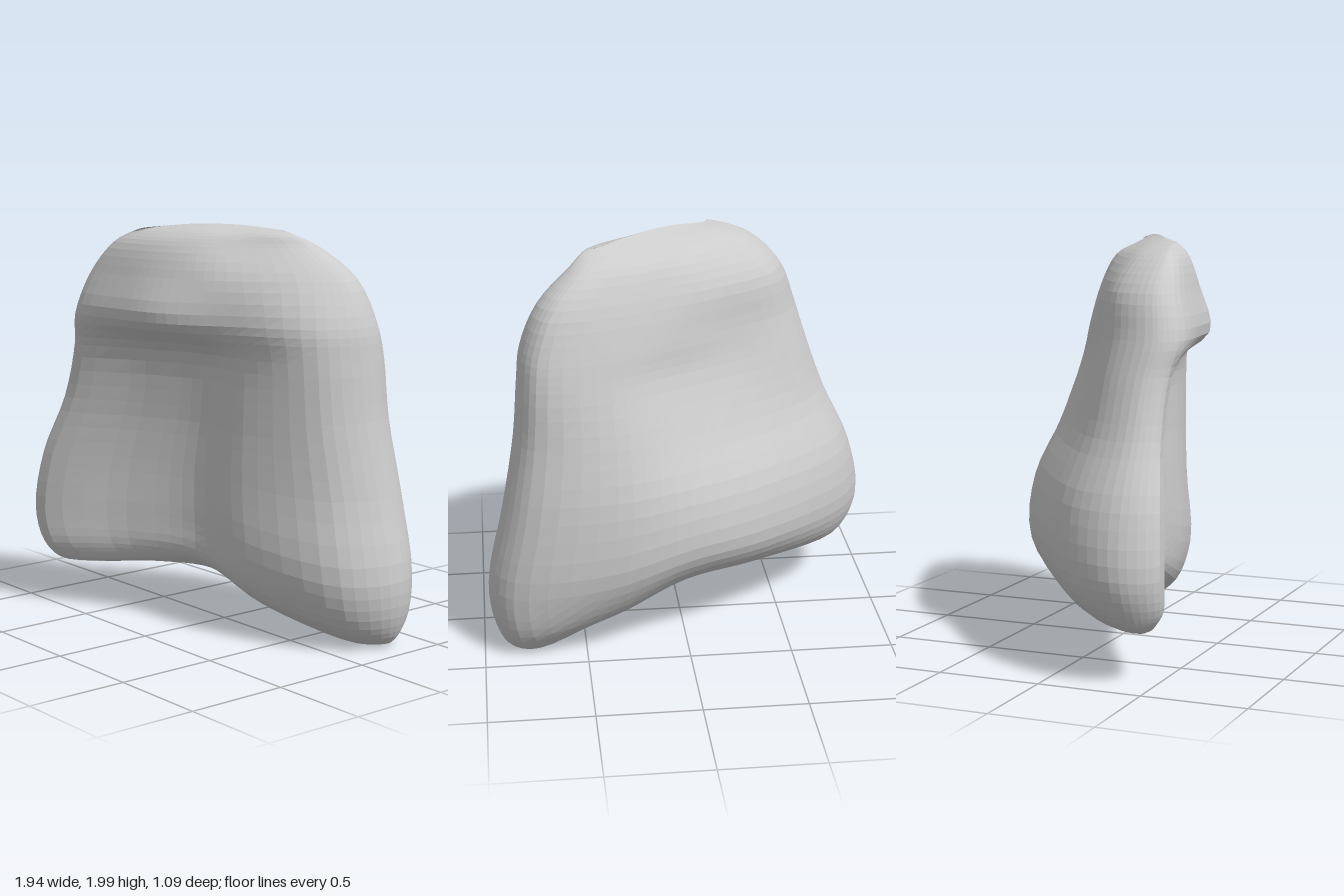
import * as THREE from 'three';

// Horizontal sections: height, left x, right x, front z and back z (both from -x to +x)
const SECTIONS = [
  [0.25, -0.85, 0.87, [0.46, 0.26, 0.09, 0.01, -0.18], [0.26, -0.03, -0.16, -0.27, -0.37]],
  [0.33, -0.92, 0.94, [0.52, 0.31, 0.18, 0.12, -0.07], [0.16, -0.2, -0.36, -0.44, -0.44]],
  [0.5, -0.97, 0.97, [0.54, 0.32, 0.19, 0.18, 0], [0.11, -0.31, -0.49, -0.54, -0.46]],
  [0.8, -0.91, 0.89, [0.52, 0.3, 0.18, 0.18, 0], [0.09, -0.29, -0.47, -0.53, -0.45]],
  [1.1, -0.77, 0.825, [0.47, 0.28, 0.17, 0.17, 0.02], [0.14, -0.17, -0.34, -0.45, -0.41]],
  [1.38, -0.67, 0.8, [0.47, 0.32, 0.21, 0.18, 0.03], [0.16, -0.08, -0.23, -0.37, -0.39]],
  [1.54, -0.62, 0.78, [0.5, 0.48, 0.42, 0.25, 0.03], [0.18, -0.06, -0.21, -0.33, -0.36]],
  [1.75, -0.54, 0.69, [0.45, 0.44, 0.37, 0.25, -0.02], [0.17, -0.04, -0.15, -0.25, -0.3]],
  [1.9, -0.39, 0.53, [0.4, 0.38, 0.31, 0.19, 0], [0.21, 0.04, -0.06, -0.14, -0.18]],
  [1.96, -0.25, 0.45, [0.34, 0.3, 0.24, 0.14, 0.02], [0.24, 0.11, 0.04, -0.02, -0.06]],
];
const COLUMNS = [0.05, 0.3, 0.5, 0.7, 0.94];
const AROUND = 60, UP = 44;

// Control ring: left edge, front, right edge, back
function ring([y, x0, x1, front, back]) {
  const at = (u, z) => new THREE.Vector3(x0 + (x1 - x0) * u, y, z);
  const mid = (i) => (front[i] + back[i]) / 2;
  return [
    at(0, mid(0) + 0.06),
    ...COLUMNS.map((u, i) => at(u, front[i])),
    at(1, mid(4) - 0.03),
    ...COLUMNS.map((u, i) => at(u, back[i])).reverse(),
  ];
}

// Collapse a ring onto its own midline, crowned towards the middle, to close an end
function closeRing(points, y) {
  const n = points.length;
  const cx = (points[0].x + points[n / 2].x) / 2;
  const half = points[n / 2].x - cx;
  return points.map((p, i) => {
    const q = points[(n - i) % n];
    const crown = ((p.x - cx) / half) ** 2;
    return new THREE.Vector3(cx + (p.x - cx) * 0.78, y + (p.y - y) * crown * 0.6, (p.z + q.z) / 2);
  });
}

function bodyGeometry() {
  const rings = SECTIONS.map(ring);
  rings.unshift(closeRing(rings[0], 0.215));
  rings.push(closeRing(rings[rings.length - 1], 2));

  // Arch the underside and pull the +x corner down into a foot
  for (const p of rings.flat()) {
    const fade = THREE.MathUtils.clamp((1 - p.y) / 0.77, 0, 1);
    const arch = 0.05 * THREE.MathUtils.smoothstep(p.x, -0.75, -0.25);
    const foot = 0.28 * THREE.MathUtils.smoothstep(p.x, -0.1, 0.75);
    p.y += fade * (arch - foot);
  }

  // Smooth around each ring, then upward through the rings
  const loops = rings.map((r) => new THREE.CatmullRomCurve3(r, true));
  const positions = [], indices = [];
  for (let i = 0; i < AROUND; i++) {
    const column = new THREE.CatmullRomCurve3(loops.map((l) => l.getPoint(i / AROUND)));
    for (let j = 0; j <= UP; j++) positions.push(...column.getPoint(j / UP).toArray());
  }
  for (let i = 0; i < AROUND; i++) {
    for (let j = 0; j < UP; j++) {
      const a = i * (UP + 1) + j, b = ((i + 1) % AROUND) * (UP + 1) + j;
      indices.push(a, b, b + 1, a, b + 1, a + 1);
    }
  }
  const geometry = new THREE.BufferGeometry();
  geometry.setAttribute('position', new THREE.Float32BufferAttribute(positions, 3));
  geometry.setIndex(indices);
  geometry.computeVertexNormals();
  return geometry;
}

export function createModel() {
  const group = new THREE.Group();
  group.name = 'carvedStone';
  const material = new THREE.MeshStandardMaterial({ color: 0xcccccc, flatShading: true });
  const body = new THREE.Mesh(bodyGeometry(), material);
  body.name = 'body';
  group.add(body);
  return group;
}
